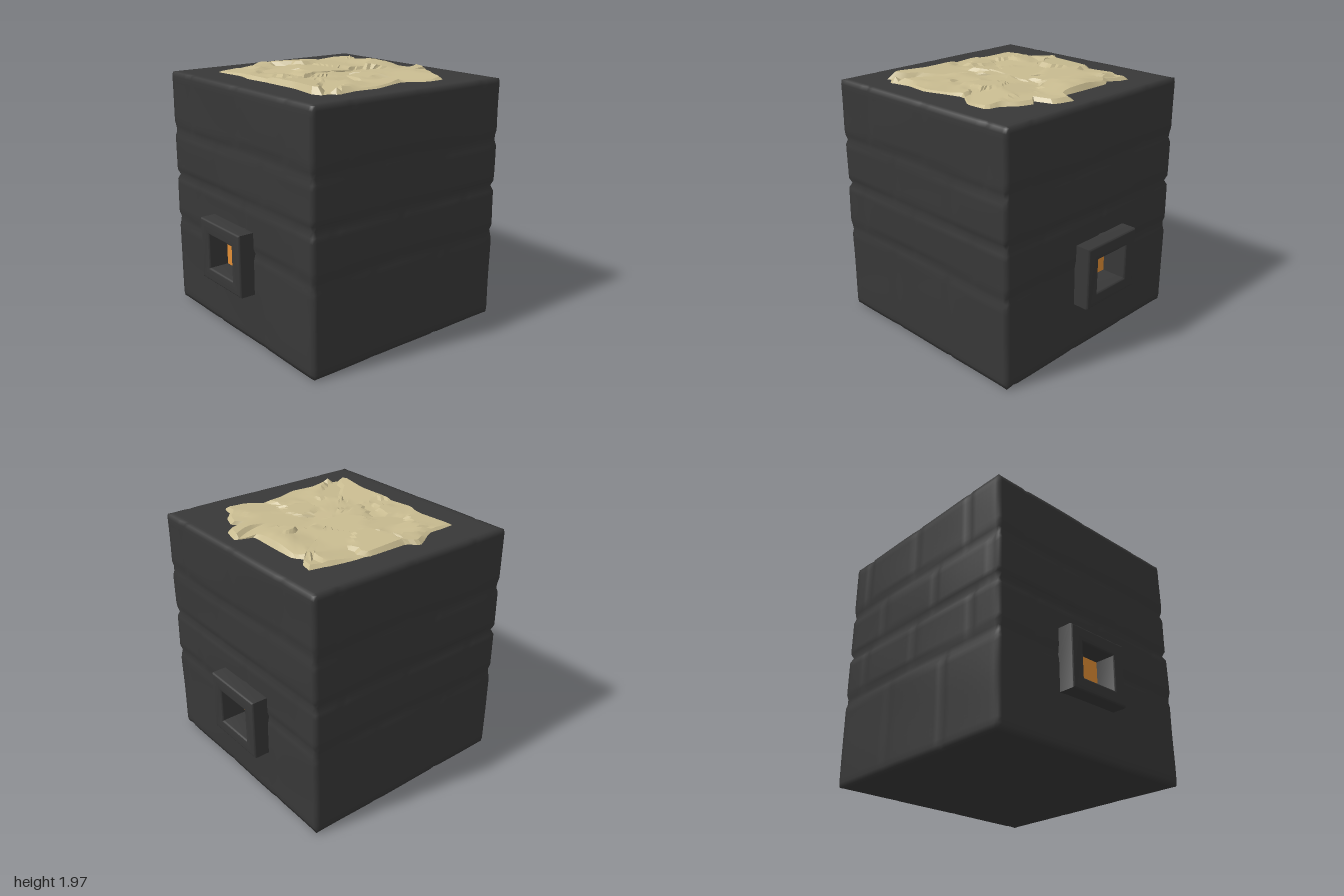
import * as THREE from 'three';
import { mergeVertices, toCreasedNormals } from 'three/addons/utils/BufferGeometryUtils.js';

const W = 1.82, H = 1.91, D = 1.76;
const courses = [0.7, 1.08, 1.45];
const OPEN = { x0: -0.23, x1: 0.09, y0: 0.5, y1: 0.77 };

function seeded(seed) {
  return () => {
    seed = (seed * 16807) % 2147483647;
    return seed / 2147483647;
  };
}
const dip = (d, width) => Math.max(0, 1 - Math.abs(d) / width);

// Inward push of the wall surface: course joints, staggered upright joints, gentle waviness
function wallDepth(u, y, phase) {
  let depth = 0;
  for (const c of courses) depth = Math.max(depth, 0.02 * dip(y - c - 0.008 * Math.sin(u * 4 + phase), 0.035));
  const row = courses.filter(c => y > c).length;
  for (let k = -1; k <= 1; k++) {
    const joint = k * 0.62 + (row % 2 ? 0.0 : 0.27) + 0.08 * Math.sin(phase + row);
    depth = Math.max(depth, 0.008 * dip(u - joint, 0.035));
  }
  return depth + 0.003 * (1 + Math.sin(u * 5 + y * 3 + phase) * Math.cos(y * 6 - u * 2 + phase));
}

// Stone block with worn edges, open where the hatches pass through
function stoneBody() {
  let g = new THREE.BoxGeometry(W, H, D, 46, 48, 44);
  g.deleteAttribute('normal');
  g.deleteAttribute('uv');
  g = mergeVertices(g);
  g.translate(0, H / 2, 0);
  const p = g.attributes.position;
  const v = new THREE.Vector3(), inner = new THREE.Vector3(), r = 0.025;
  const lo = new THREE.Vector3(-W / 2 + r, r, -D / 2 + r);
  const hi = new THREE.Vector3(W / 2 - r, H - r, D / 2 - r);
  for (let i = 0; i < p.count; i++) {
    v.fromBufferAttribute(p, i);
    const onX = Math.abs(v.x) > W / 2 - 1e-4, onZ = Math.abs(v.z) > D / 2 - 1e-4;
    const { x, y, z } = v;
    inner.copy(v).clamp(lo, hi);
    v.sub(inner).setLength(r + (onX && onZ ? 0.008 : 0));
    if (!onX && !onZ && y > 0.1 && y < H - 0.1) v.set(0, 0, 0);
    v.add(inner);
    if (onX) v.x -= Math.sign(x) * wallDepth(z, y, x > 0 ? 1 : 2.5);
    if (onZ) v.z -= Math.sign(z) * wallDepth(x, y, z > 0 ? 0.3 : 4);
    p.setXYZ(i, v.x, v.y, v.z);
  }
  // Leave out the faces behind each hatch frame
  const kept = [], idx = g.index.array;
  for (let i = 0; i < idx.length; i += 3) {
    const t = [idx[i], idx[i + 1], idx[i + 2]];
    const mean = get => t.reduce((s, k) => s + get(k), 0) / 3;
    const x = mean(k => p.getX(k)), y = mean(k => p.getY(k)), z = mean(k => p.getZ(k));
    const inHole = Math.abs(z) > 0.8 && x > -0.29 && x < 0.15 && y > 0.45 && y < 0.83;
    if (!inHole) kept.push(...t);
  }
  g.setIndex(kept);
  g.computeVertexNormals();
  return g;
}

function rect(S, x0, y0, x1, y1) {
  return new S([[x0, y0], [x1, y0], [x1, y1], [x0, y1]].map(q => new THREE.Vector2(...q)));
}

// Square frame with softened edges, reaching into the wall
function hatchFrame() {
  const s = rect(THREE.Shape, -0.34, 0.4, 0.2, 0.88);
  s.holes.push(rect(THREE.Path, OPEN.x0, OPEN.y0, OPEN.x1, OPEN.y1));
  const b = 0.015;
  const g = new THREE.ExtrudeGeometry(s, {
    depth: 0.26 - 2 * b, bevelThickness: b, bevelSize: b, bevelOffset: -b, bevelSegments: 3,
  });
  g.translate(0, 0, 0.74 + b);
  return toCreasedNormals(g, 0.7);
}

// Crumpled heap: rings inside a ragged outline, lifted by tilted facets
function sandHeap() {
  const outline = [
    [-0.6, -0.68], [-0.5, -0.66], [-0.44, -0.6], [-0.38, -0.65], [0.09, -0.64], [0.13, -0.78],
    [0.3, -0.74], [0.35, -0.58], [0.4, -0.64], [0.52, -0.6], [0.6, -0.52], [0.72, -0.5],
    [0.74, -0.33], [0.62, -0.16], [0.72, 0.15], [0.7, 0.34], [0.73, 0.5], [0.68, 0.62],
    [0.6, 0.65], [0.35, 0.61], [0.03, 0.62], [-0.2, 0.64], [-0.35, 0.61], [-0.64, 0.65],
    [-0.64, 0.4], [-0.76, 0.18], [-0.68, 0.12], [-0.68, -0.3], [-0.64, -0.5], [-0.6, -0.68],
  ].map(q => new THREE.Vector2(...q));
  const N = 120, R = 18;
  const edge = new THREE.Path(outline).getSpacedPoints(N);
  const rnd = seeded(77);
  const facets = Array.from({ length: 34 }, () => ({
    x: rnd() * 1.4 - 0.7, z: rnd() * 1.3 - 0.65,
    h: 0.012 + rnd() * 0.022, a: (rnd() - 0.5) * 0.2, b: (rnd() - 0.5) * 0.2,
  }));
  const height = (x, z) => {
    let best = 9, h = 0;
    for (const f of facets) {
      const dx = x - f.x, dz = z - f.z, d = Math.hypot(dx, dz);
      if (d < best) { best = d; h = f.h + f.a * dx + f.b * dz; }
    }
    const peak = 0.04 * dip(x + 0.18, 0.34) * dip(z + 0.55, 0.2);
    return Math.max(0.006, h + peak);
  };
  const pos = [], idx = [];
  for (let j = 0; j <= R; j++) {
    const t = j / R;
    for (let i = 0; i < N; i++) {
      const x = edge[i].x * t, z = edge[i].y * t;
      pos.push(x, j === R ? 1.9 : 1.91 + height(x, z), z);
      if (j === R) continue;
      const a = j * N + i, b = j * N + (i + 1) % N, c = a + N, d = b + N;
      if (j > 0) idx.push(a, b, c);
      idx.push(b, d, c);
    }
  }
  const g = new THREE.BufferGeometry();
  g.setAttribute('position', new THREE.Float32BufferAttribute(pos, 3));
  g.setIndex(idx);
  return toCreasedNormals(g, 0.4);
}

export function createModel() {
  const mat = (name, color, side = THREE.FrontSide) => {
    const m = new THREE.MeshStandardMaterial({ color, side });
    m.name = name;
    return m;
  };
  const stone = mat('dark stone', 0x383838);
  const ember = mat('glowing orange', 0xe38f35);
  const sand = mat('pale sand', 0xc8bb90, THREE.DoubleSide);

  const group = new THREE.Group();
  const add = (name, geometry, material) => {
    const m = new THREE.Mesh(geometry, material);
    m.name = name;
    group.add(m);
    return m;
  };

  add('stoneBody', stoneBody(), stone);
  add('sandHeap', sandHeap(), sand);

  // Matching hatches on the front and back
  const cx = (OPEN.x0 + OPEN.x1) / 2, cy = (OPEN.y0 + OPEN.y1) / 2;
  const frame = hatchFrame();
  add('frontFrame', frame, stone);
  const back = add('backFrame', frame, stone);
  back.rotation.y = Math.PI;
  back.position.x = -0.14;
  const glow = new THREE.BoxGeometry(0.34, 0.29, 0.02);
  add('frontGlow', glow, ember).position.set(cx, cy, 0.83);
  add('backGlow', glow, ember).position.set(cx, cy, -0.79);
  return group;
}
